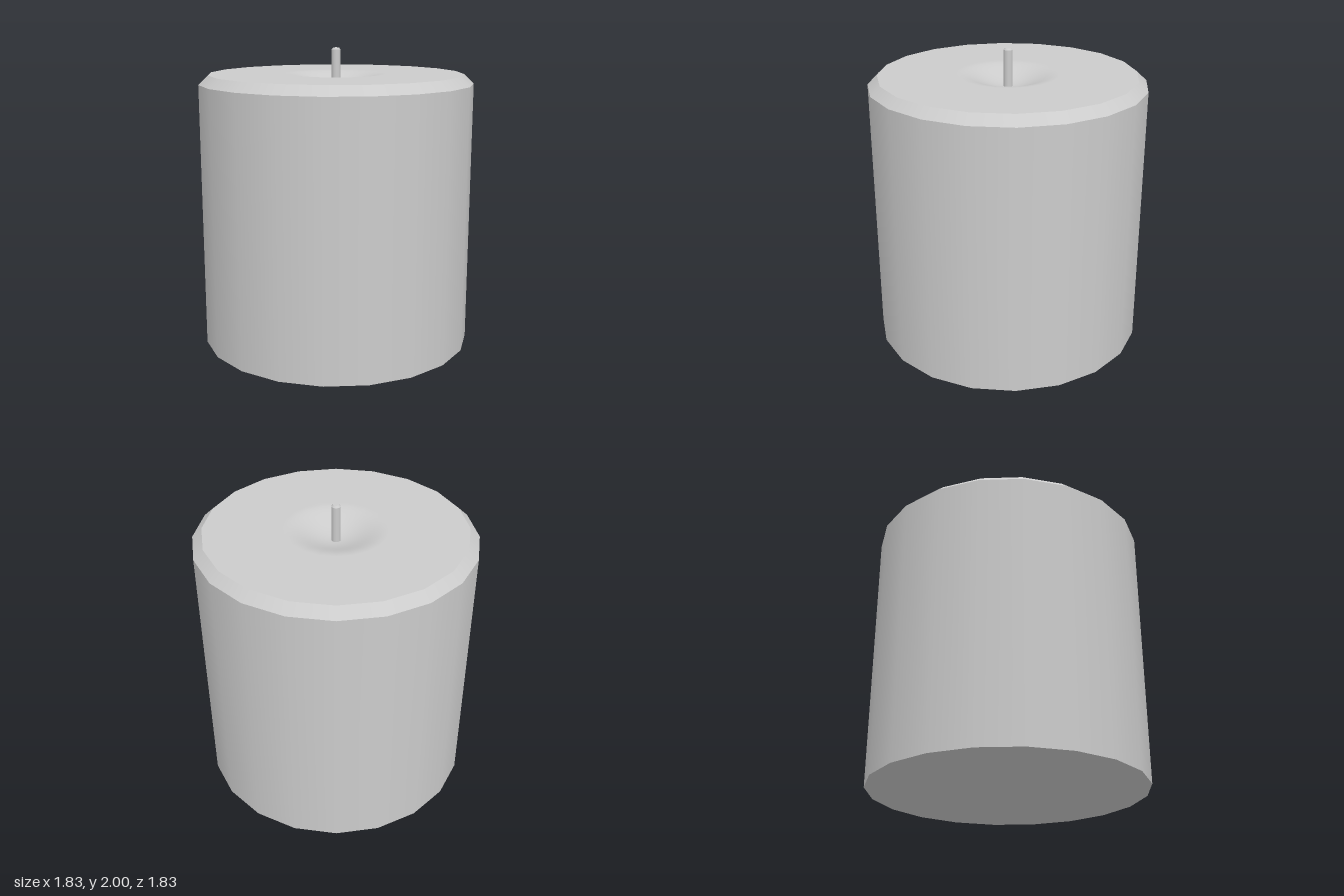
import * as THREE from 'three';

const material = new THREE.MeshStandardMaterial({ color: 0xcccccc });

// Smooth band of revolution; separate bands keep the edges between them sharp
function band(name, points, sides) {
  const profile = points.map(([r, y]) => new THREE.Vector2(r, y));
  const mesh = new THREE.Mesh(new THREE.LatheGeometry(profile, sides), material);
  mesh.name = name;
  return mesh;
}

export function createModel() {
  const model = new THREE.Group();
  model.name = 'candle';

  const R = 0.914, rimR = 0.85, shoulderY = 1.77, topY = 1.83;
  const sides = 20;

  // Wax body: flat base, 20-sided wall and bevelled shoulder
  const body = new THREE.Group();
  body.name = 'waxBody';
  body.add(
    band('base', [[0, 0], [R, 0]], sides),
    band('wall', [[R, 0], [R, shoulderY]], sides),
    band('bevel', [[R, shoulderY], [rimR, topY]], sides)
  );

  // Flat top melting into a soft dish around the wick
  const dishR = 0.34, dishDepth = 0.085, steps = 10;
  const top = [[rimR, topY]];
  for (let i = 0; i <= steps; i++) {
    const t = 1 - i / steps;
    const drop = dishDepth * (1 - t * t) ** 2;
    top.push([dishR * t, topY - drop]);
  }
  body.add(band('top', top, sides));
  model.add(body);

  // Wick with a small rounded tip
  const wick = new THREE.Group();
  wick.name = 'wick';
  wick.add(
    band('wickStem', [[0.03, topY - 0.1], [0.03, 1.988]], 12),
    band('wickTip', [[0.03, 1.988], [0.02, 2]], 12),
    band('wickEnd', [[0.02, 2], [0, 2]], 12)
  );
  model.add(wick);

  return model;
}
